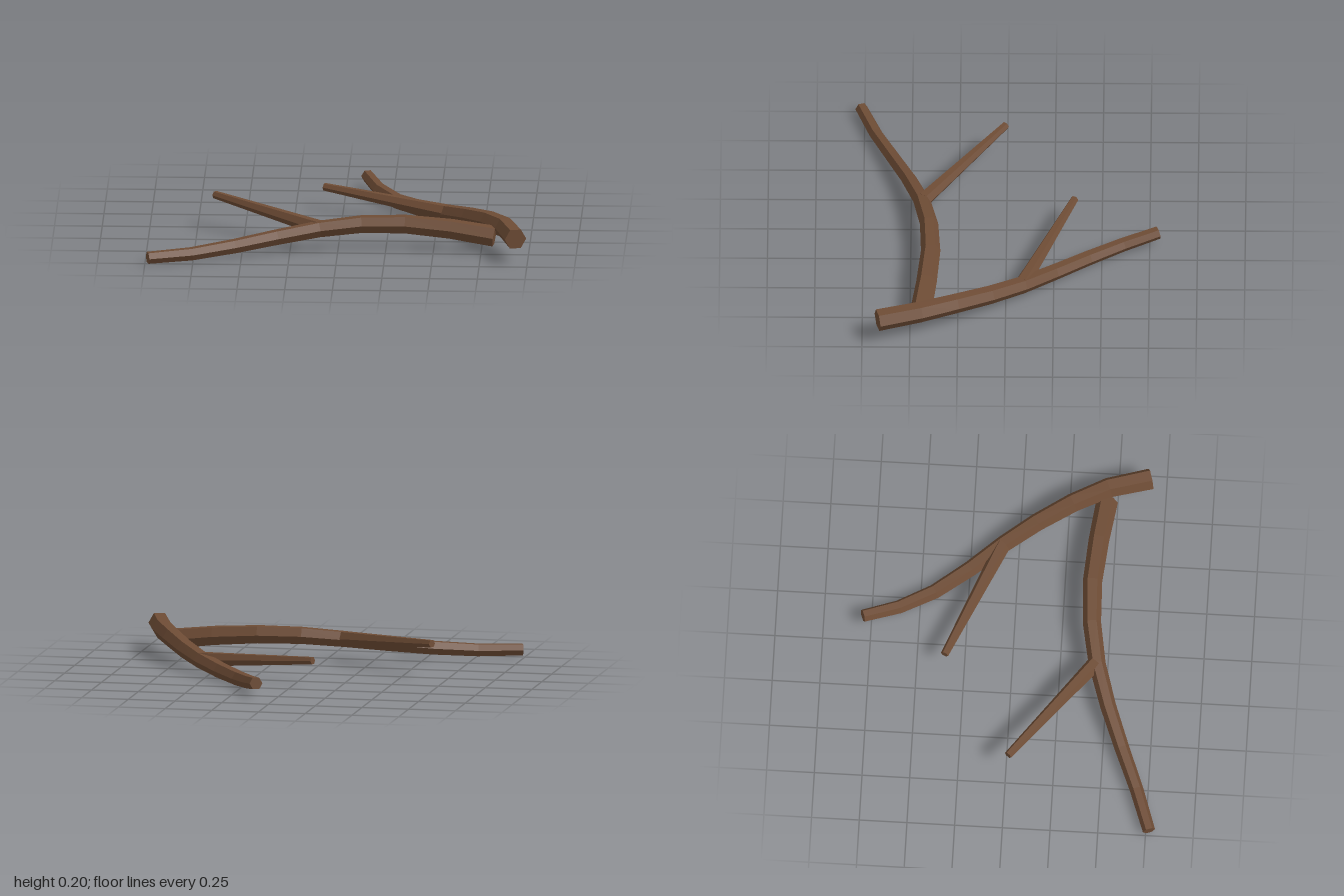
import * as THREE from 'three';

const SIDES = 6;
const UP = new THREE.Vector3(0, 1, 0);

// Tapered, capped hexagonal limb through a list of centre points
function limbGeometry(points, r0, r1) {
  const pts = points.map((p) => new THREE.Vector3(...p));
  const last = pts.length - 1;
  const tangents = pts.map((p, j) =>
    pts[Math.min(j + 1, last)].clone().sub(pts[Math.max(j - 1, 0)]).normalize());
  const rings = pts.map((p, j) => {
    const side = new THREE.Vector3().crossVectors(tangents[j], UP).normalize();
    const rise = new THREE.Vector3().crossVectors(side, tangents[j]);
    const r = THREE.MathUtils.lerp(r0, r1, j / last);
    return Array.from({ length: SIDES }, (_, i) => {
      const a = (i / SIDES) * Math.PI * 2;
      return p.clone().addScaledVector(side, Math.cos(a) * r).addScaledVector(rise, Math.sin(a) * r);
    });
  });

  const verts = [];
  const tri = (...corners) => corners.forEach((v) => verts.push(v.x, v.y, v.z));
  for (let i = 0; i < SIDES; i++) {
    const n = (i + 1) % SIDES;
    for (let j = 0; j < last; j++) {
      tri(rings[j][i], rings[j + 1][i], rings[j][n]);
      tri(rings[j][n], rings[j + 1][i], rings[j + 1][n]);
    }
    tri(pts[0], rings[0][i], rings[0][n]);
    tri(pts[last], rings[last][n], rings[last][i]);
  }
  const geometry = new THREE.BufferGeometry();
  geometry.setAttribute('position', new THREE.Float32BufferAttribute(verts, 3));
  geometry.computeVertexNormals();
  return geometry;
}

export function createModel() {
  const bark = new THREE.MeshStandardMaterial({ color: 0x6e4c35 });
  bark.name = 'bark brown';
  bark.flatShading = true;

  const model = new THREE.Group();
  model.name = 'fallenBranches';

  const addLimb = (parent, name, points, r0, r1) => {
    const mesh = new THREE.Mesh(limbGeometry(points, r0, r1), bark);
    mesh.name = name;
    parent.add(mesh);
  };

  // Branch lying across the front, with one side twig
  const front = new THREE.Group();
  front.name = 'frontBranch';
  addLimb(front, 'frontStem', [
    [0.82, 0.09, 0.445], [0.59, 0.12, 0.415], [0.35, 0.138, 0.395],
    [0.12, 0.138, 0.405], [-0.1, 0.12, 0.445], [-0.32, 0.092, 0.515],
    [-0.54, 0.064, 0.6], [-0.76, 0.045, 0.69], [-0.985, 0.042, 0.768],
  ], 0.057, 0.033);
  addLimb(front, 'frontTwig', [[-0.1, 0.125, 0.435], [-0.66, 0.185, 0.01]], 0.041, 0.021);
  model.add(front);

  // Branch running from front to back, with one side twig
  const back = new THREE.Group();
  back.name = 'backBranch';
  addLimb(back, 'backStem', [
    [0.938, 0.135, 0.668], [0.875, 0.14, 0.45], [0.785, 0.127, 0.267],
    [0.675, 0.1, 0.085], [0.553, 0.072, -0.085], [0.415, 0.049, -0.25],
    [0.28, 0.04, -0.43], [0.18, 0.052, -0.61], [0.11, 0.079, -0.795],
  ], 0.058, 0.034);
  addLimb(back, 'backTwig', [[0.55, 0.077, -0.085], [-0.1, 0.135, -0.355]], 0.041, 0.021);
  model.add(back);

  return model;
}
